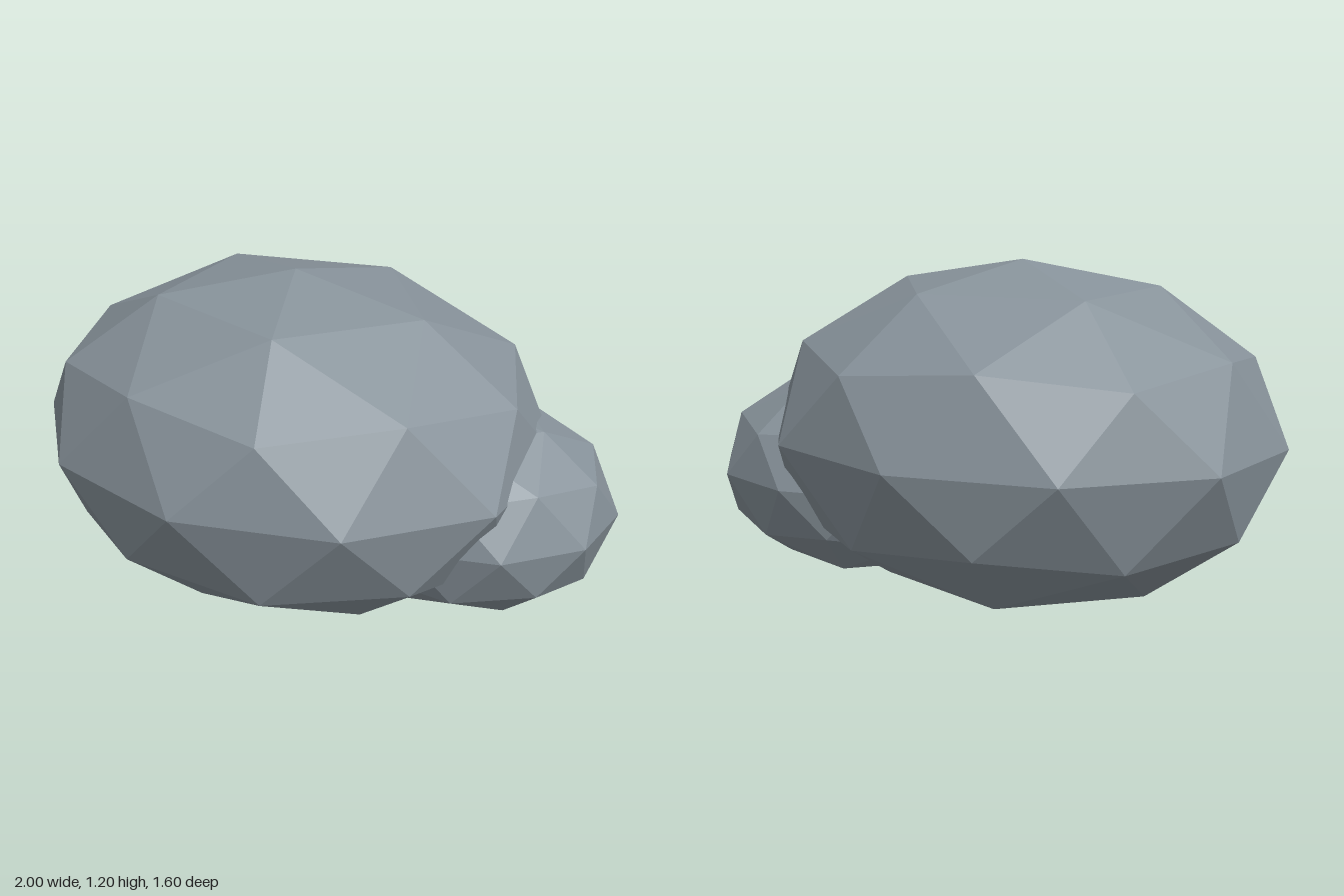
import * as THREE from 'three';

const stone = new THREE.MeshStandardMaterial({ color: 0x88939b, flatShading: true });
stone.name = 'slate grey stone';

// Faceted boulder: a once-divided icosahedron with a corner at its pole, stretched to size
function boulder(name, [x, y, z], [rx, ry, rz]) {
  const geometry = new THREE.IcosahedronGeometry(1, 1);
  geometry.rotateZ(-Math.atan(2 / (1 + Math.sqrt(5)))); // bring a corner to the top
  geometry.scale(rx, ry, rz);
  geometry.computeVertexNormals(); // unshared corners give one normal per facet
  const mesh = new THREE.Mesh(geometry, stone);
  mesh.name = name;
  mesh.position.set(x, y, z);
  return mesh;
}

export function createModel() {
  const group = new THREE.Group();
  group.name = 'boulders';
  group.add(
    boulder('largeBoulder', [-0.11, 0.602, 0], [0.936, 0.6, 0.8]),
    boulder('smallBoulder', [0.486, 0.43, -0.135], [0.54, 0.371, 0.466])
  );
  return group;
}
